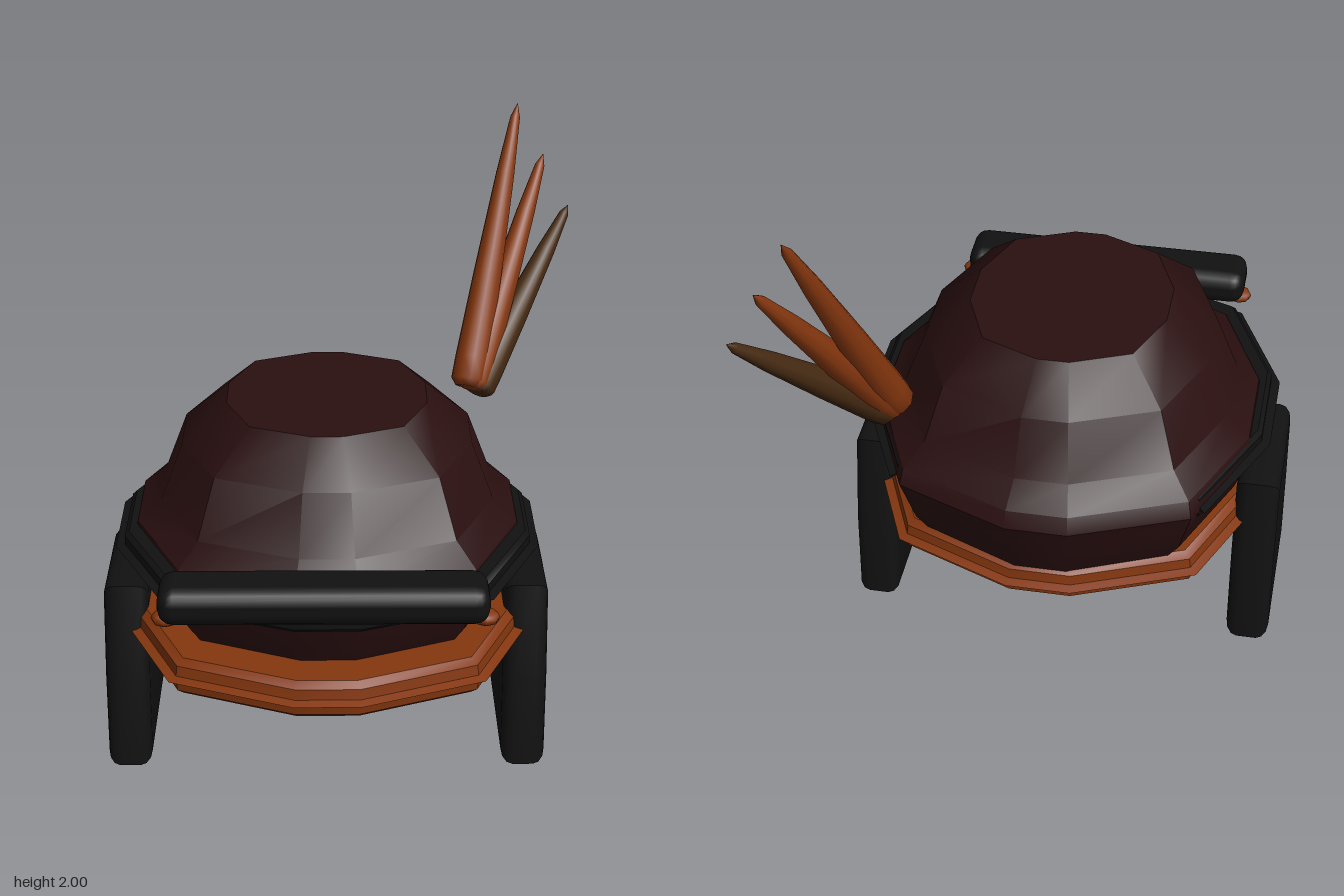
import * as THREE from 'three';
import { toCreasedNormals } from 'three/addons/utils/BufferGeometryUtils.js';
import { RoundedBoxGeometry } from 'three/addons/geometries/RoundedBoxGeometry.js';

const CX = -0.07; // the headgear sits slightly to the right of the origin

// Twelve-sided unit outline, running from +x towards -z
const PLAN = [
  [1, -0.24], [0.75, -0.78], [0.16, -1], [-0.16, -1], [-0.75, -0.78], [-1, -0.24],
  [-1, 0.24], [-0.75, 0.78], [-0.16, 1], [0.16, 1], [0.75, 0.78], [1, 0.24],
];

// Skin a list of closed rings of points, with a fan cap at each end
function loft(rings, crease) {
  const n = rings[0].length, pos = [], idx = [];
  rings.flat().forEach((p) => pos.push(...p));
  for (let i = 0; i < rings.length - 1; i++) {
    for (let j = 0; j < n; j++) {
      const a = i * n + j, b = i * n + (j + 1) % n;
      idx.push(a, b, b + n, a, b + n, a + n);
    }
  }
  const last = (rings.length - 1) * n;
  for (let j = 1; j < n - 1; j++) {
    idx.push(0, j + 1, j, last, last + j, last + j + 1);
  }
  const g = new THREE.BufferGeometry();
  g.setAttribute('position', new THREE.Float32BufferAttribute(pos, 3));
  g.setIndex(idx);
  return toCreasedNormals(g, crease);
}

// Horizontal ring of the outline
const level = (y, rx, rz, cz) => PLAN.map(([x, z]) => [CX + x * rx, y, cz + z * rz]);

export function createModel() {
  const group = new THREE.Group();
  const material = (name, color) => {
    const m = new THREE.MeshStandardMaterial({ color });
    m.name = name;
    return m;
  };
  const maroon = material('dark maroon', 0x2a0f10);
  const black = material('black', 0x111111);
  const rust = material('rust orange', 0x85370f);
  const brown = material('dark brown', 0x452a12);
  const add = (name, geometry, mat, parent = group) => {
    const mesh = new THREE.Mesh(geometry, mat);
    mesh.name = name;
    parent.add(mesh);
    return mesh;
  };

  // Faceted dome with a ridge around its widest part
  const domeLevels = [
    [0.56, 0.55, 0.625], [0.62, 0.6, 0.65], [0.73, 0.635, 0.685], [0.79, 0.655, 0.705],
    [0.85, 0.64, 0.685], [0.92, 0.56, 0.6], [1.12, 0.485, 0.53], [1.25, 0.335, 0.38],
  ];
  add('dome', loft(domeLevels.map(([y, rx, rz]) => level(y, rx, rz, 0.05)), 0.6), maroon);

  // Base disc with a sharp edge
  const baseProfile = [
    [-0.06, 0.44], [-0.035, 0.46], [-0.03, 0.495], [0, 0.505], [-0.03, 0.515], [-0.035, 0.55], [-0.06, 0.57],
  ];
  add('baseDisc', loft(baseProfile.map(([d, y]) => level(y, 0.685 + d, 0.745 + d, 0.125)), 0.6), rust);

  // Brim around the front and sides, open at the back
  const brimProfile = [
    [-0.14, 0.74], [-0.045, 0.74], [-0.03, 0.755], [-0.03, 0.785], [0, 0.79],
    [-0.03, 0.795], [-0.03, 0.825], [-0.045, 0.84], [-0.14, 0.84],
  ];
  const brimRings = [];
  for (let k = 0; k < 10; k++) {
    const [x, z] = PLAN[(13 - k) % 12];
    brimRings.push(brimProfile.map(([d, y]) => [CX + x * (0.71 + d), y, 0.11 + z * (0.735 + d)]));
  }
  add('brim', loft(brimRings, 0.6), black);

  // Bar across the front, with a small stud under each end
  add('frontBar', new RoundedBoxGeometry(1.04, 0.125, 0.2, 2, 0.05), black).position.set(-0.08, 0.862, 0.8);
  for (const side of [-1, 1]) {
    const stud = add(side > 0 ? 'leftStud' : 'rightStud', new THREE.SphereGeometry(1, 8, 6), rust);
    stud.scale.set(0.045, 0.026, 0.043);
    stud.position.set(-0.075 + side * 0.505, 0.792, 0.8);
  }

  // Tapered side guards with bevelled edges
  const bevel = 0.04;
  const shape = new THREE.Shape([
    [-0.16, 0.04], [0.355, 0.04], [0.345, 0.33], [0.295, 0.62], [-0.1, 0.62], [-0.15, 0.33],
  ].map(([z, y]) => new THREE.Vector2(z, y)));
  const guardGeometry = new THREE.ExtrudeGeometry(shape, {
    depth: 0.07, bevelEnabled: true, bevelThickness: 0.04, bevelSize: bevel, bevelSegments: 3,
  });
  guardGeometry.translate(0, 0, -0.035);
  guardGeometry.rotateY(-Math.PI / 2);
  const guard = toCreasedNormals(guardGeometry, 0.7);
  for (const side of [-1, 1]) {
    add(side > 0 ? 'leftGuard' : 'rightGuard', guard, black).position.x = -0.075 + side * 0.678;
  }

  // Three plumes fanning up and back from one point
  const plumes = new THREE.Group();
  plumes.name = 'plumes';
  group.add(plumes);
  const plumeProfile = [[0, 0], [0.045, 0], [0.065, 0.025], [0.064, 0.1], [0.052, 0.4], [0.034, 0.75], [0.018, 0.95], [0, 1]];
  const up = new THREE.Vector3(0, 1, 0);
  [
    ['upperPlume', [0.435, 1.08, -0.42], [0.625, 2, -0.9], rust],
    ['middlePlume', [0.45, 1.07, -0.425], [0.725, 1.81, -0.9], rust],
    ['lowerPlume', [0.465, 1.06, -0.43], [0.825, 1.615, -0.9], brown],
  ].forEach(([name, from, to, mat]) => {
    const start = new THREE.Vector3(...from);
    const dir = new THREE.Vector3(...to).sub(start);
    const length = dir.length();
    const points = plumeProfile.map(([r, t]) => new THREE.Vector2(r, t * length));
    const plume = add(name, new THREE.LatheGeometry(points, 10), mat, plumes);
    plume.position.copy(start);
    plume.quaternion.setFromUnitVectors(up, dir.normalize());
  });

  return group;
}
